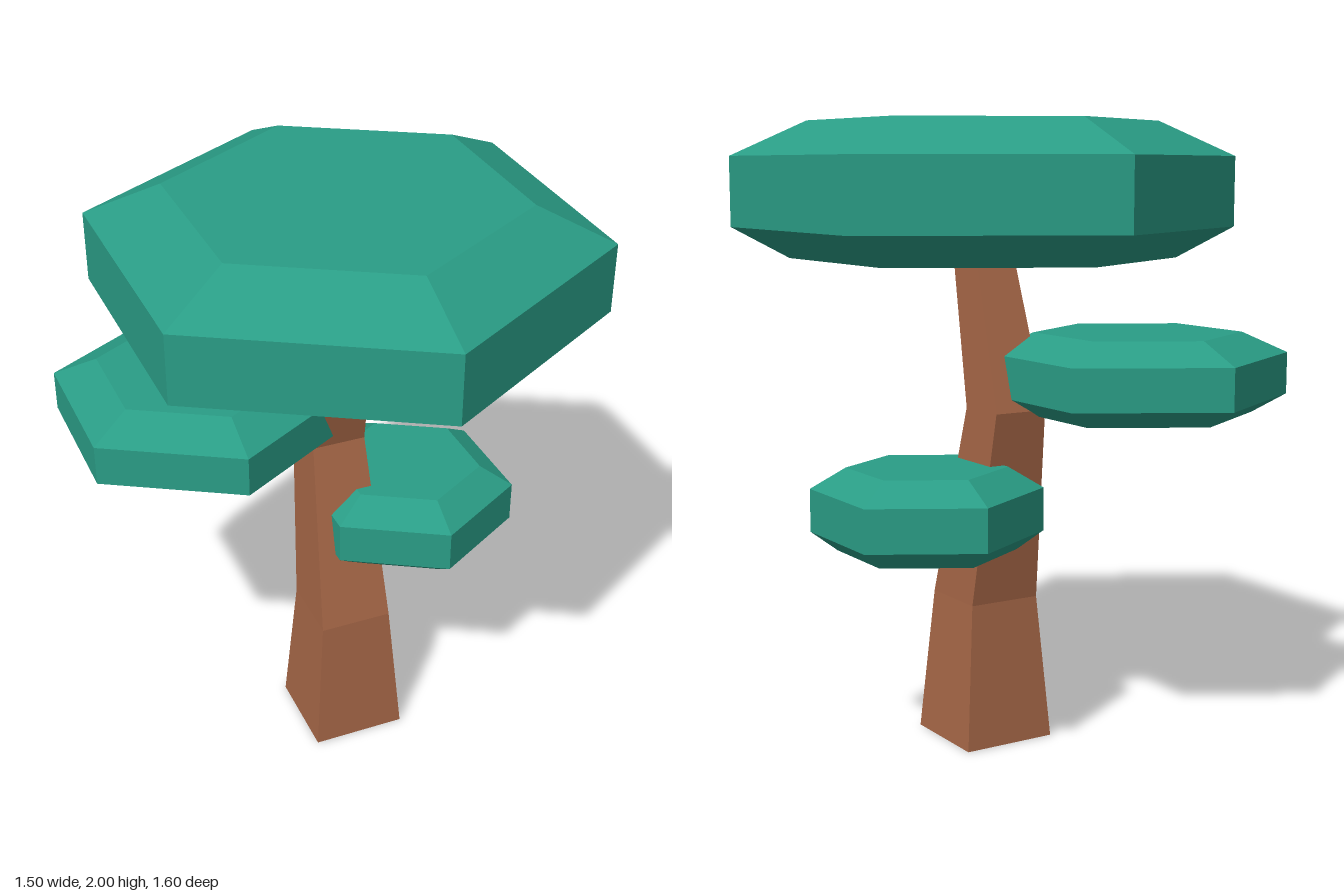
import * as THREE from 'three';

const bark = new THREE.MeshStandardMaterial({ color: 0xa56646, flatShading: true });
const leaf = new THREE.MeshStandardMaterial({ color: 0x2a9d86, flatShading: true });

// Square trunk that bends backwards and tapers: [y, centre x, centre z, width]
function createTrunk() {
  const sections = [
    [0, 0.052, -0.002, 0.315],
    [0.47, 0.051, -0.003, 0.243],
    [1.1, 0.054, -0.135, 0.18],
    [1.6, 0.053, 0.006, 0.138],
  ];
  const geometry = new THREE.BoxGeometry(1, 1, 1, 1, sections.length - 1, 1);
  const p = geometry.attributes.position;
  for (let i = 0; i < p.count; i++) {
    const row = Math.round((p.getY(i) + 0.5) * (sections.length - 1));
    const [y, x, z, w] = sections[row];
    p.setXYZ(i, x + p.getX(i) * w, y, z + p.getZ(i) * w);
  }
  geometry.computeVertexNormals();
  const mesh = new THREE.Mesh(geometry, bark);
  mesh.name = 'trunk';
  return mesh;
}

// Flat hexagonal foliage pad with bevelled top and bottom, corners on the z axis
function createFoliage(name, x, z, radius, [y0, y1, y2, y3]) {
  const profile = [
    [0, y0], [radius * 0.77, y0], [radius, y1],
    [radius, y2], [radius * 0.693, y3], [0, y3],
  ].map(([r, y]) => new THREE.Vector2(r, y));
  const mesh = new THREE.Mesh(new THREE.LatheGeometry(profile, 6), leaf);
  mesh.position.set(x, 0, z);
  mesh.name = name;
  return mesh;
}

export function createModel() {
  const tree = new THREE.Group();
  tree.name = 'tree';
  tree.add(
    createTrunk(),
    createFoliage('topFoliage', 0.053, 0, 0.8, [1.57, 1.668, 1.89, 2]),
    createFoliage('rightFoliage', -0.335, -0.305, 0.48, [1.08, 1.139, 1.272, 1.338]),
    createFoliage('leftFoliage', 0.319, -0.095, 0.365, [0.668, 0.728, 0.865, 0.932]),
  );
  return tree;
}
